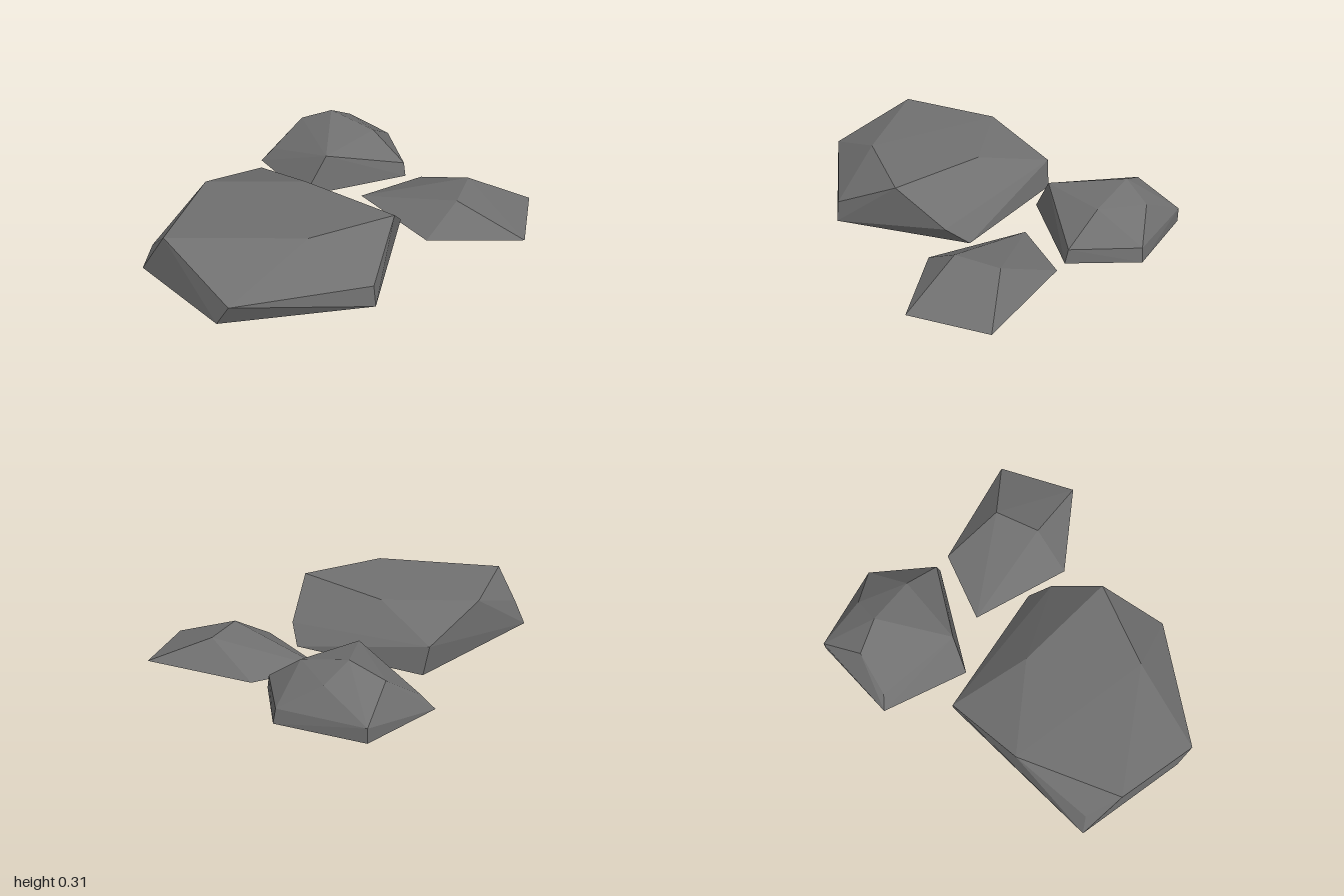
import * as THREE from 'three';
import { ConvexGeometry } from 'three/addons/geometries/ConvexGeometry.js';

const stone = new THREE.MeshStandardMaterial({ color: 0x707070, flatShading: true, side: THREE.DoubleSide });
stone.name = 'grey stone';

// Faceted rock: hull of a ground outline and raised corners, open underneath
function rock(name, baseY, outline, corners) {
  const points = [
    ...outline.map(([x, z]) => new THREE.Vector3(x, baseY, z)),
    ...corners.map(([x, y, z]) => new THREE.Vector3(x, y, z)),
  ];
  const hull = new ConvexGeometry(points).getAttribute('position');
  const kept = [];
  for (let i = 0; i < hull.count; i += 3) {
    const top = Math.max(hull.getY(i), hull.getY(i + 1), hull.getY(i + 2));
    if (top < baseY + 0.001) continue; // drop the underside
    for (let j = i; j < i + 3; j++) kept.push(hull.getX(j), hull.getY(j), hull.getZ(j));
  }
  const geometry = new THREE.BufferGeometry();
  geometry.setAttribute('position', new THREE.Float32BufferAttribute(kept, 3));
  geometry.computeVertexNormals();
  const mesh = new THREE.Mesh(geometry, stone);
  mesh.name = name;
  return mesh;
}

export function createModel() {
  const group = new THREE.Group();
  group.name = 'rocks';

  // Broad slab at the front
  group.add(rock('largeRock', 0.01,
    [[-1, 0.47], [-0.6, 0.92], [0.13, 0.8], [0.245, 0.07], [-0.42, -0.26]],
    [
      [-0.94, 0.145, 0.47], [-0.535, 0.14, 0.975], [0.12, 0.12, 0.79],
      [0.28, 0.1, 0.19], [-0.45, 0.16, -0.25],
      [-0.855, 0.29, 0.63], [-0.18, 0.31, 0.675], [0.23, 0.29, 0.45],
      [-0.71, 0.28, 0.1], [-0.2, 0.275, 0.1],
    ]));

  // Domed rock at the back
  group.add(rock('backRock', 0,
    [[-0.165, -0.975], [0.275, -0.805], [0.345, -0.425], [-0.22, -0.215], [-0.475, -0.615]],
    [
      [-0.165, 0.075, -0.975], [0.262, 0.075, -0.8], [0.335, 0.075, -0.44], [-0.405, 0.075, -0.62],
      [-0.24, 0.205, -0.75], [0.04, 0.2, -0.805], [0.165, 0.22, -0.565],
      [-0.1, 0.205, -0.29], [-0.07, 0.28, -0.695],
    ]));

  // Low ridged rock at the side
  group.add(rock('sideRock', 0.01,
    [[0.09, -0.195], [0.43, -0.395], [1, -0.16], [0.91, 0.255], [0.41, 0.25]],
    [[0.66, 0.145, -0.15], [0.575, 0.145, 0.085]]));

  return group;
}
